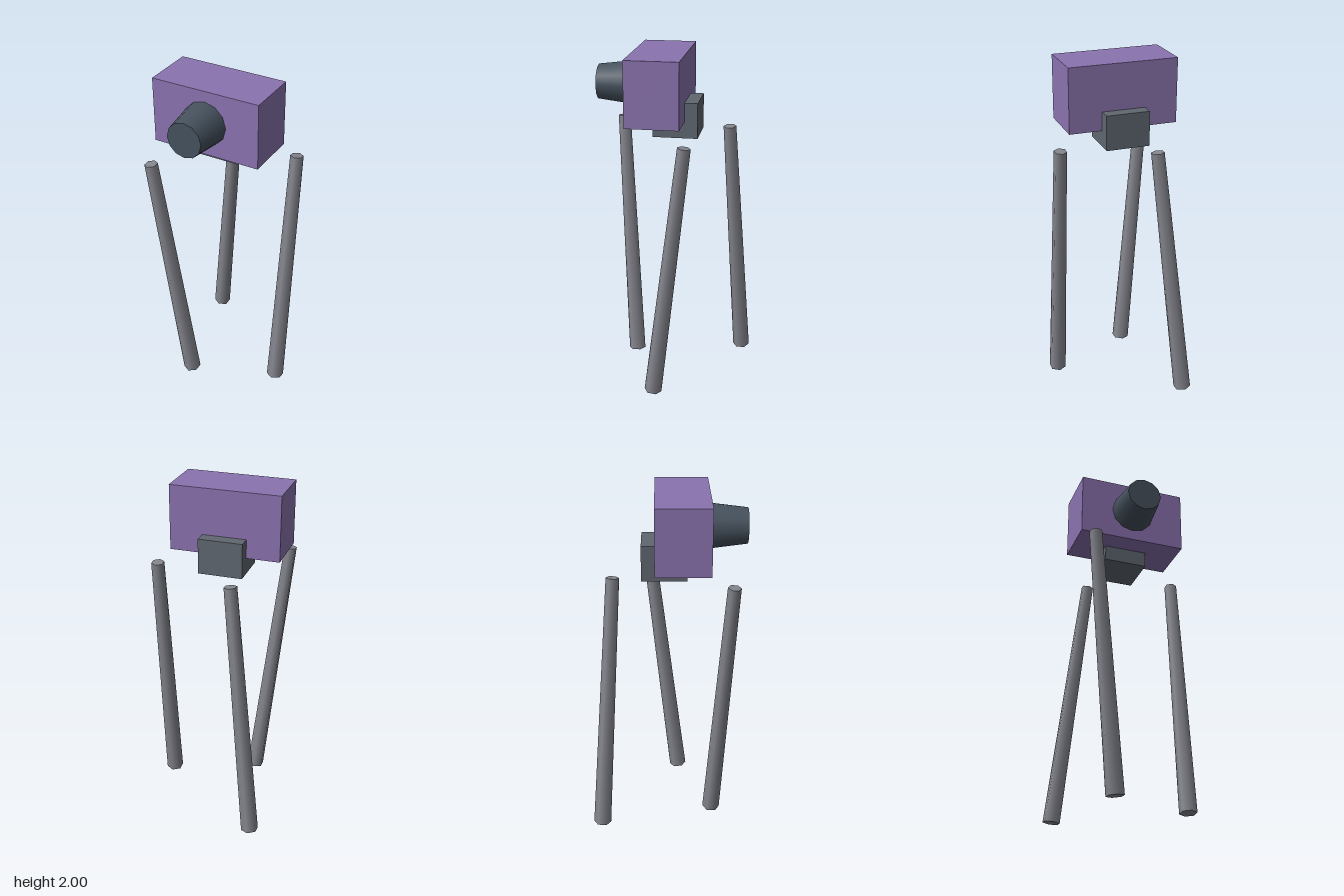
import * as THREE from 'three';

const material = (color) => new THREE.MeshStandardMaterial({ color });

export function createModel() {
  const model = new THREE.Group();
  model.name = 'tripodCamera';

  const purple = material(0x8b73af);
  const slate = material(0x606770);
  const darkSlate = material(0x46525e);
  const legGrey = material(0x85868e);

  function add(name, geometry, mat, x, y, z) {
    const mesh = new THREE.Mesh(geometry, mat);
    mesh.name = name;
    mesh.position.set(x, y, z);
    model.add(mesh);
    return mesh;
  }

  // Camera body and the block set into its lower back
  add('cameraBody', new THREE.BoxGeometry(0.645, 0.38, 0.31), purple, -0.056, 1.81, 0.085);
  add('mountBlock', new THREE.BoxGeometry(0.258, 0.205, 0.26), slate, -0.056, 1.628, -0.016);

  // Lens barrel, tapering towards the front
  const lens = new THREE.CylinderGeometry(0.103, 0.129, 0.21, 12).rotateX(Math.PI / 2);
  add('lens', lens, darkSlate, -0.056, 1.81, 0.345);

  // Three tapered hexagonal legs, each from a foot [x, z] to a top [x, z]
  const legs = [
    { name: 'leftLeg', foot: [0.332, 0.076], top: [0.332, -0.108] },
    { name: 'rightFrontLeg', foot: [-0.17, 0.274], top: [-0.331, 0.366] },
    { name: 'rightBackLeg', foot: [-0.331, -0.398], top: [-0.17, -0.306] },
  ];
  const up = new THREE.Vector3(0, 1, 0);
  for (const { name, foot, top } of legs) {
    const a = new THREE.Vector3(foot[0], 0.006, foot[1]);
    const b = new THREE.Vector3(top[0], 1.544, top[1]);
    const geometry = new THREE.CylinderGeometry(0.038, 0.052, a.distanceTo(b), 6);
    const middle = a.clone().lerp(b, 0.5);
    const leg = add(name, geometry, legGrey, middle.x, middle.y, middle.z);
    leg.quaternion.setFromUnitVectors(up, b.sub(a).normalize());
  }

  return model;
}
